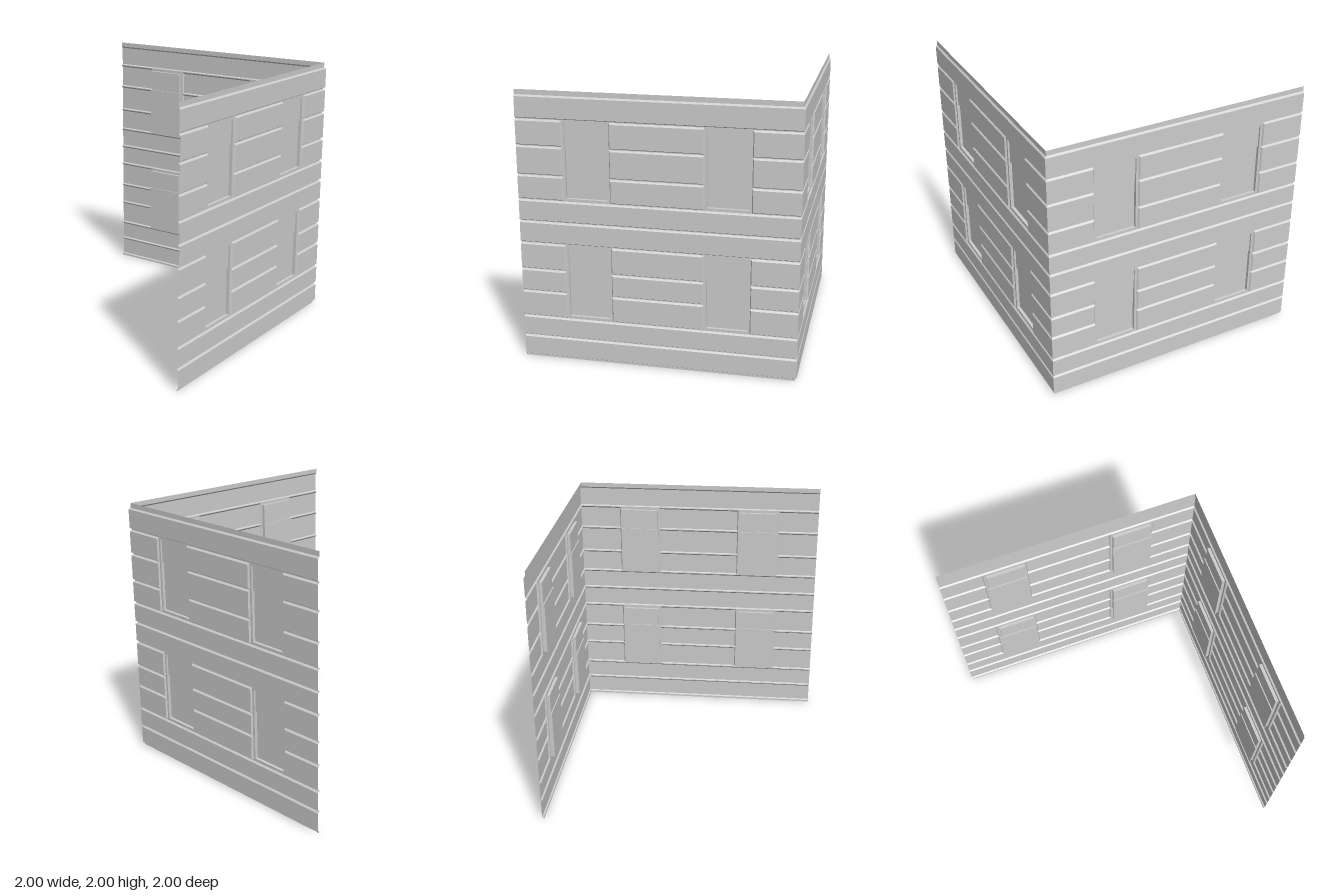
import * as THREE from 'three';

const FACE = 0.999, BACK = 0.987, SASH = 0.964; // depths of block face, joint plane, sash
const FREE = 1, TOP = 1.995;
const JOINTS = [0.012, 0.17, 0.325, 0.52, 0.69, 0.89, 1.053, 1.213, 1.393, 1.603, 1.793, 1.962];
const STOREYS = [
  { first: 2, last: 5, rail: 0.71 },
  { first: 7, last: 10, rail: 1.603 },
];
const GAP = 0.003;

const material = new THREE.MeshStandardMaterial({ color: 0xcccccc, side: THREE.DoubleSide, flatShading: true });

// Collects four-cornered faces into one sheet
function sheet(name) {
  const points = [];
  const quad = (a, b, c, d) => points.push(...a, ...b, ...c, ...a, ...c, ...d);
  return {
    quad,
    flat: (x0, x1, y0, y1, z) => quad([x0, y0, z], [x1, y0, z], [x1, y1, z], [x0, y1, z]),
    // Four sides joining a back rectangle to a front one; skip holds sides left open
    sides(back, front, skip = []) {
      const ring = ([x0, x1, y0, y1, z]) => [[x0, y0, z], [x1, y0, z], [x1, y1, z], [x0, y1, z]];
      const b = ring(back), f = ring(front);
      for (let i = 0; i < 4; i++) {
        const j = (i + 1) % 4;
        if (!skip.includes(i)) quad(b[i], b[j], f[j], f[i]);
      }
    },
    mesh() {
      const g = new THREE.BufferGeometry();
      g.setAttribute('position', new THREE.Float32BufferAttribute(points, 3));
      g.computeVertexNormals();
      const m = new THREE.Mesh(g, material);
      m.name = name;
      return m;
    },
  };
}

// Thin sash panel
function panel(name, x0, x1, y0, y1, z0, z1) {
  const m = new THREE.Mesh(new THREE.BoxGeometry(x1 - x0, y1 - y0, z1 - z0), material);
  m.position.set((x0 + x1) / 2, (y0 + y1) / 2, (z0 + z1) / 2);
  m.name = name;
  return m;
}

// One wall facing +z; corner is +1 or -1, the end where it meets the other wall
function createWall(name, corner, shift) {
  const wall = new THREE.Group();
  wall.name = name;
  const blocks = sheet('stoneCourses'), joints = sheet('courseJoints'), frames = sheet('windowFrames');
  const left = corner > 0 ? -FREE : -BACK, right = corner > 0 ? BACK : FREE;
  const openings = [[-0.667, -0.332], [0.332, 0.66]].map((o) => o.map((x) => x + shift));
  const piers = [[left, openings[0][0]], [openings[0][1], openings[1][0]], [openings[1][1], right]];

  // Raised block with chamfered edges, mitred at the corner and open at the free end
  function block(x0, x1, y0, y1) {
    const skip = [];
    let f0 = x0 + 0.008, f1 = x1 - 0.008;
    if (x0 === left) { f0 = corner > 0 ? -FREE : -FACE; skip.push(3); }
    if (x1 === right) { f1 = corner > 0 ? FACE : FREE; skip.push(1); }
    const front = [f0, f1, y0 + 0.007, y1 - 0.012, FACE];
    blocks.sides([x0, x1, y0, y1, BACK], front, skip);
    blocks.flat(...front);
  }

  // Courses, broken into piers beside the windows
  for (let i = 0; i < JOINTS.length - 1; i++) {
    const broken = STOREYS.some((s) => i >= s.first && i < s.last);
    for (const [x0, x1] of broken ? piers : [[left, right]]) {
      block(x0, x1, JOINTS[i] + GAP, JOINTS[i + 1] - GAP);
    }
  }

  // Sunken joints, base strip and top strip
  JOINTS.forEach((y, i) => {
    const broken = STOREYS.some((s) => i > s.first && i < s.last);
    const y0 = i === 0 ? 0 : y - GAP;
    const y1 = i === JOINTS.length - 1 ? TOP : y + GAP;
    for (const [x0, x1] of broken ? piers : [[left, right]]) joints.flat(x0, x1, y0, y1, BACK);
  });

  // Windows: flat surround, reveal, and two staggered sashes
  for (const { first, last, rail } of STOREYS) {
    const y0 = JOINTS[first] + GAP, y1 = JOINTS[last] - GAP;
    openings.forEach(([x0, x1]) => {
      const a = x0 + 0.018, b = x1 - 0.017, c = y0 + 0.015, d = y1 - 0.017;
      frames.flat(x0, a, y0, y1, BACK);
      frames.flat(b, x1, y0, y1, BACK);
      frames.flat(a, b, y0, c, BACK);
      frames.flat(a, b, d, y1, BACK);
      frames.sides([a, b, c, d, SASH], [a, b, c, d, BACK]);
      wall.add(panel('upperSash', a, b, rail - 0.008, d, SASH, SASH + 0.01));
      wall.add(panel('lowerSash', a - 0.009, b + 0.005, c, rail + 0.008, SASH - 0.008, SASH));
    });
  }

  wall.add(blocks.mesh(), joints.mesh(), frames.mesh());
  return wall;
}

export function createModel() {
  const model = new THREE.Group();
  model.name = 'cornerFacade';
  const front = createWall('frontWall', 1, 0);
  const side = createWall('leftSideWall', -1, 0.01);
  side.rotation.y = Math.PI / 2;
  model.add(front, side);
  return model;
}
